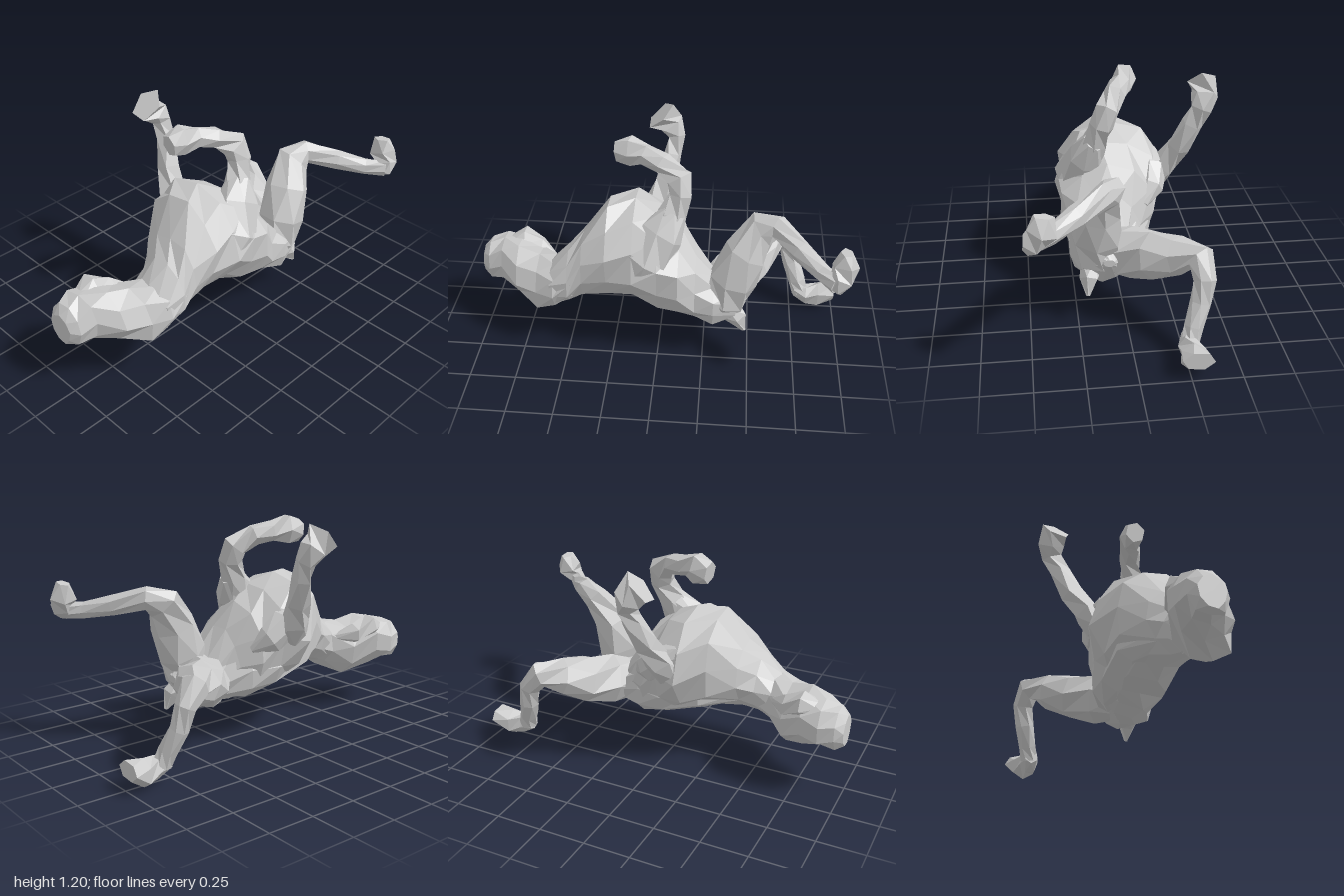
import * as THREE from 'three';

const material = new THREE.MeshStandardMaterial({ color: 0xcccccc, flatShading: true, side: THREE.DoubleSide });

// Skins oval rings [x, y, z, ru, rv]; u leans towards ref, v is square to it.
// With a fixed axis every ring stays square to that axis.
function loft(name, rings, sides, ref, axis, wobble = 0) {
  const centres = rings.map(r => new THREE.Vector3(r[0], r[1], r[2]));
  const pos = [], index = [], n = rings.length;
  rings.forEach((r, i) => {
    const t = axis ? axis.clone() : new THREE.Vector3();
    if (!axis) {
      if (i > 0) t.add(centres[i].clone().sub(centres[i - 1]).normalize());
      if (i < n - 1) t.add(centres[i + 1].clone().sub(centres[i]).normalize());
      t.normalize();
    }
    const u = ref.clone().addScaledVector(t, -ref.dot(t)).normalize();
    const v = t.clone().cross(u);
    for (let j = 0; j < sides; j++) {
      const a = (j + (i % 2) * 0.35) / sides * Math.PI * 2;
      const k = 1 + wobble * Math.sin(i * 2.3 + j * 3.7);
      const p = centres[i].clone()
        .addScaledVector(u, Math.cos(a) * r[3] * k)
        .addScaledVector(v, Math.sin(a) * r[4] * k);
      pos.push(p.x, p.y, p.z);
    }
  });
  for (let i = 0; i < n - 1; i++) for (let j = 0; j < sides; j++) {
    const a = i * sides + j, b = i * sides + (j + 1) % sides;
    index.push(a, b, a + sides, b, b + sides, a + sides);
  }
  const first = n * sides, last = first + 1, end = (n - 1) * sides;
  pos.push(...centres[0].toArray(), ...centres[n - 1].toArray());
  for (let j = 0; j < sides; j++) {
    const k = (j + 1) % sides;
    index.push(first, k, j, last, end + j, end + k);
  }
  const geometry = new THREE.BufferGeometry();
  geometry.setAttribute('position', new THREE.Float32BufferAttribute(pos, 3));
  geometry.setIndex(index);
  geometry.computeVertexNormals();
  const mesh = new THREE.Mesh(geometry, material);
  mesh.name = name;
  return mesh;
}

export function createModel() {
  const group = new THREE.Group();
  group.name = 'lyingAnimal';
  const V = (x, y, z) => new THREE.Vector3(x, y, z);
  const X = V(1, 0, 0), Y = V(0, 1, 0);

  // Head and muzzle, turned to the back
  group.add(loft('head', [
    [-1.0, 0.385, -0.06, 0.085, 0.075],
    [-0.96, 0.395, -0.06, 0.115, 0.115],
    [-0.88, 0.41, -0.055, 0.13, 0.145],
    [-0.78, 0.40, 0.00, 0.15, 0.18],
    [-0.66, 0.36, 0.07, 0.16, 0.18],
    [-0.56, 0.40, 0.13, 0.14, 0.155],
    [-0.46, 0.46, 0.13, 0.14, 0.15],
  ], 9, Y, X, 0.05));

  // Ear
  group.add(loft('ear', [
    [-0.86, 0.49, -0.08, 0.03, 0.05],
    [-0.77, 0.50, -0.10, 0.07, 0.075],
    [-0.67, 0.46, -0.07, 0.06, 0.065],
    [-0.58, 0.44, -0.01, 0.02, 0.02],
  ], 6, Y, X));

  // Neck, chest and narrow hindquarters
  group.add(loft('torso', [
    [-0.58, 0.40, 0.13, 0.13, 0.14],
    [-0.48, 0.46, 0.13, 0.16, 0.16],
    [-0.40, 0.53, 0.10, 0.19, 0.19],
    [-0.27, 0.60, 0.05, 0.27, 0.25],
    [-0.13, 0.59, 0.02, 0.29, 0.30],
    [0.00, 0.55, 0.04, 0.29, 0.28],
    [0.11, 0.48, 0.06, 0.25, 0.26],
    [0.20, 0.41, 0.09, 0.205, 0.19],
    [0.30, 0.345, 0.13, 0.145, 0.16],
    [0.42, 0.34, 0.11, 0.12, 0.13],
    [0.50, 0.37, 0.09, 0.02, 0.03],
  ], 11, Y, X, 0.05));

  // Fuller underside of the flank at the back
  group.add(loft('flank', [
    [-0.42, 0.45, 0.04, 0.07, 0.07],
    [-0.22, 0.45, -0.05, 0.11, 0.13],
    [0.00, 0.41, -0.07, 0.14, 0.13],
    [0.15, 0.37, -0.05, 0.13, 0.11],
    [0.28, 0.34, 0.00, 0.09, 0.08],
  ], 8, Y, X, 0.04));

  // Shoulder bulges over the tops of the front legs
  group.add(loft('nearShoulder', [
    [-0.14, 0.52, 0.25, 0.07, 0.06],
    [-0.07, 0.63, 0.23, 0.14, 0.10],
    [0.02, 0.76, 0.16, 0.12, 0.10],
    [0.08, 0.87, 0.12, 0.07, 0.06],
  ], 7, X, null, 0.05));
  group.add(loft('farShoulder', [
    [-0.12, 0.70, -0.17, 0.06, 0.07],
    [-0.03, 0.64, -0.20, 0.09, 0.08],
    [0.06, 0.57, -0.18, 0.08, 0.07],
    [0.13, 0.51, -0.12, 0.03, 0.04],
  ], 7, Y, null, 0.05));

  // Front legs, raised, each ending in a hoof
  group.add(loft('nearFrontLeg', [
    [0.02, 0.74, 0.15, 0.08, 0.09],
    [0.07, 0.86, 0.12, 0.07, 0.075],
    [0.11, 0.96, 0.09, 0.065, 0.065],
    [0.10, 1.04, 0.06, 0.065, 0.075],
    [0.01, 1.095, 0.01, 0.06, 0.055],
    [-0.08, 1.115, -0.03, 0.06, 0.055],
    [-0.16, 1.12, -0.06, 0.065, 0.085],
    [-0.235, 1.11, -0.07, 0.055, 0.06],
  ], 6, V(0, 0, 1)));
  group.add(loft('farFrontLeg', [
    [-0.07, 0.57, -0.21, 0.08, 0.07],
    [-0.04, 0.66, -0.27, 0.08, 0.07],
    [0.00, 0.78, -0.335, 0.065, 0.065],
    [0.035, 0.92, -0.40, 0.05, 0.06],
    [0.05, 1.01, -0.44, 0.05, 0.06],
    [0.02, 1.07, -0.465, 0.075, 0.075],
    [-0.04, 1.13, -0.455, 0.10, 0.08],
  ], 5, X));

  // Hind legs, stretched apart, each ending in a hoof
  const nearRef = V(0.17, -0.12, -0.21), farRef = V(-0.155, -0.055, -0.13);
  group.add(loft('nearHindLeg', [
    [0.31, 0.27, 0.15, 0.06, 0.06],
    [0.36, 0.36, 0.15, 0.135, 0.125],
    [0.40, 0.49, 0.15, 0.14, 0.13],
    [0.46, 0.65, 0.135, 0.11, 0.12],
    [0.54, 0.78, 0.10, 0.07, 0.10],
    [0.62, 0.81, 0.13, 0.06, 0.065],
    [0.73, 0.77, 0.27, 0.055, 0.055],
    [0.83, 0.735, 0.39, 0.045, 0.045],
    [0.90, 0.73, 0.48, 0.045, 0.045],
  ], 7, nearRef));
  group.add(loft('nearHindHoof', [
    [0.89, 0.70, 0.49, 0.03, 0.03],
    [0.92, 0.75, 0.47, 0.06, 0.06],
    [0.93, 0.81, 0.43, 0.07, 0.075],
    [0.93, 0.885, 0.42, 0.03, 0.05],
  ], 5, X));
  group.add(loft('farHindLeg', [
    [0.28, 0.34, 0.09, 0.09, 0.11],
    [0.38, 0.36, -0.02, 0.14, 0.14],
    [0.48, 0.395, -0.14, 0.145, 0.125],
    [0.57, 0.435, -0.25, 0.11, 0.10],
    [0.66, 0.465, -0.34, 0.075, 0.075],
    [0.72, 0.38, -0.35, 0.055, 0.06],
    [0.745, 0.27, -0.33, 0.05, 0.055],
    [0.785, 0.16, -0.29, 0.05, 0.05],
    [0.81, 0.09, -0.27, 0.05, 0.05],
  ], 7, farRef));
  group.add(loft('farHindHoof', [
    [0.77, 0.10, -0.27, 0.04, 0.04],
    [0.84, 0.08, -0.26, 0.06, 0.055],
    [0.91, 0.075, -0.27, 0.075, 0.07],
    [1.0, 0.11, -0.28, 0.05, 0.08],
  ], 6, Y, X));

  // Short tail
  group.add(loft('tail', [
    [0.36, 0.31, 0.17, 0.07, 0.07],
    [0.44, 0.25, 0.19, 0.055, 0.05],
    [0.475, 0.17, 0.20, 0.01, 0.01],
  ], 5, X));

  return group;
}
